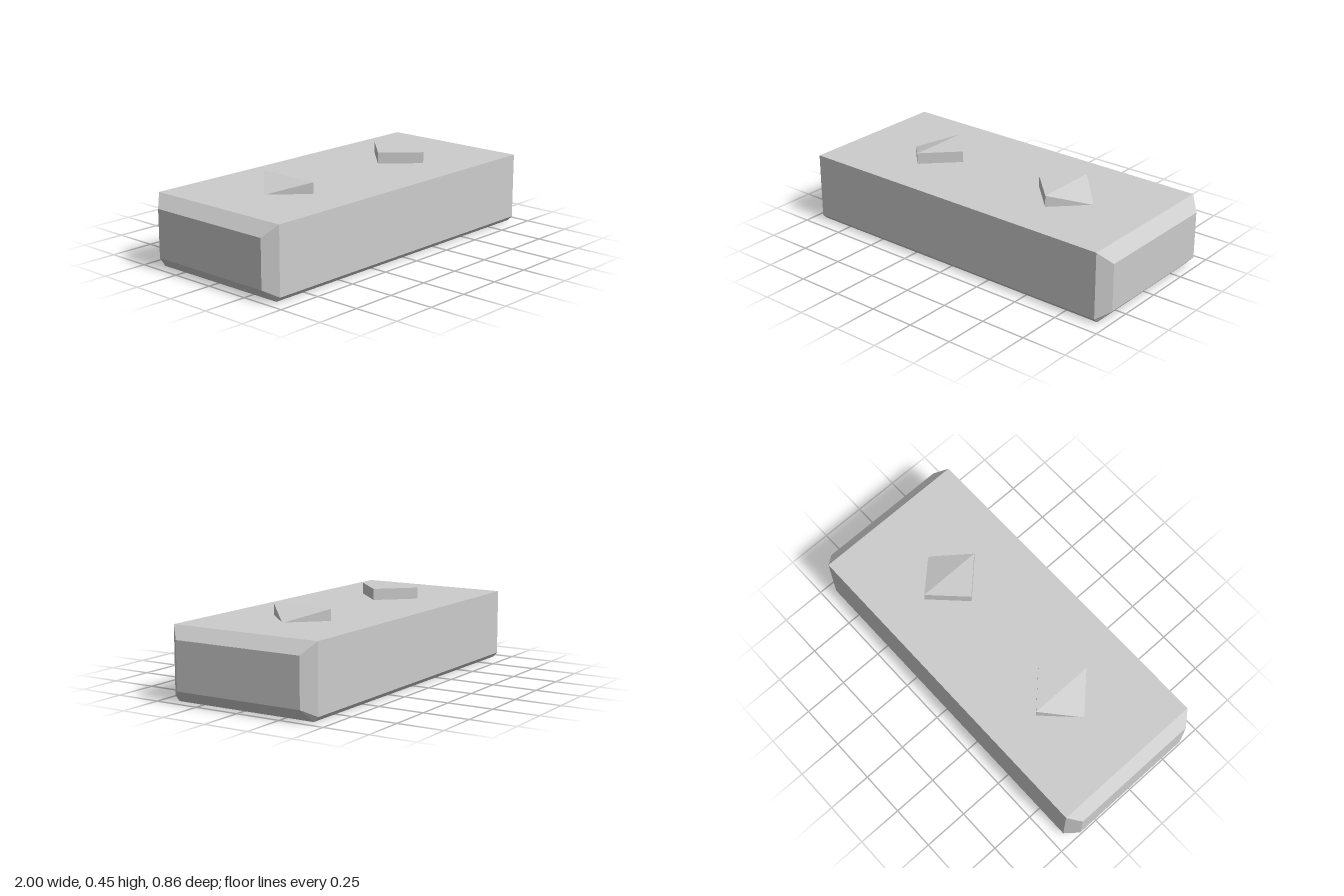
import * as THREE from 'three';
import { ConvexGeometry } from 'three/addons/geometries/ConvexGeometry.js';

const v = (x, y, z) => new THREE.Vector3(x, y, z);

export function createModel() {
  const group = new THREE.Group();
  const grey = new THREE.MeshStandardMaterial({ color: 0xcccccc });
  grey.name = 'light grey';

  const add = (name, points) => {
    const mesh = new THREE.Mesh(new ConvexGeometry(points), grey);
    mesh.name = name;
    group.add(mesh);
  };

  // Block with bevelled ends and a narrow bevel along the bottom edges
  const corners = [];
  for (const sx of [-1, 1]) {
    for (const sz of [-1, 1]) {
      corners.push(
        v(sx, 0.065, sz * 0.37), v(sx, 0.325, sz * 0.37), // end face
        v(sx * 0.938, 0.39, sz * 0.432), // top
        v(sx * 0.938, 0.027, sz * 0.432), // side
        v(sx * 0.938, 0, sz * 0.406), // bottom
      );
    }
  }
  add('block', corners);

  // Diamond studs: flat inner half, outer half sloping down to a point
  for (const [name, s] of [['leftStud', 1], ['rightStud', -1]]) {
    const points = [v(s * 0.614, 0.388, 0)];
    for (const y of [0.388, 0.452]) {
      points.push(v(s * 0.262, y, 0), v(s * 0.438, y, 0.178), v(s * 0.438, y, -0.178));
    }
    add(name, points);
  }
  return group;
}
